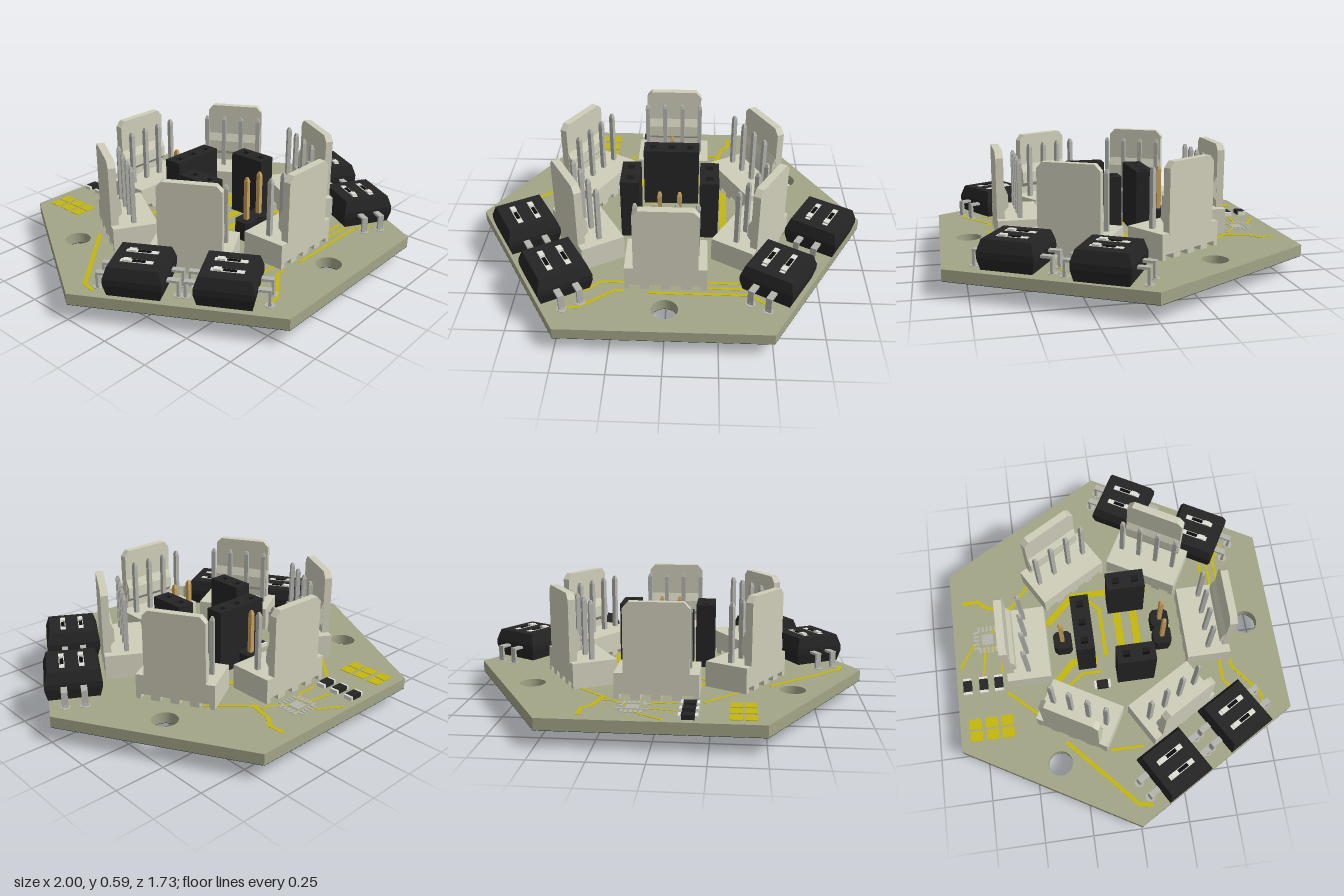
import * as THREE from 'three';

const mat = (color) => new THREE.MeshStandardMaterial({ color, flatShading: true });
const M = {
  board: mat(0xa3a587), under: mat(0x24352d), cream: mat(0xcfceba), black: mat(0x242424),
  dark: mat(0x0c0c0c), metal: mat(0xb4b4ae), gold: mat(0xc8a15a), copper: mat(0xc4b60c),
  white: mat(0xe0e0d8), pad: mat(0x56605a), silk: mat(0xb4b4ac),
};
const TOP = 0.135, BOTTOM = 0.08;

function add(parent, name, geo, material, x = 0, y = 0, z = 0) {
  const m = new THREE.Mesh(geo, material);
  m.name = name;
  m.position.set(x, y, z);
  parent.add(m);
  return m;
}
const box = (p, name, m, w, h, d, x, y, z) => add(p, name, new THREE.BoxGeometry(w, h, d), m, x, y, z);
const poly = (pts) => new THREE.Shape(pts.map((p) => new THREE.Vector2(p[0], p[1])));
const extrude = (shape, depth) => new THREE.ExtrudeGeometry(shape, { depth, bevelEnabled: false, curveSegments: 16 });
function group(parent, name, x = 0, z = 0, turn = 0) {
  const g = new THREE.Group();
  g.name = name;
  g.position.set(x, 0, z);
  g.rotation.y = turn;
  parent.add(g);
  return g;
}

// Square pin with tapered tips and a solder pad under the board
function pin(p, material, x, z, y0, y1, w = 0.022) {
  const r = w * 0.7071, t = 0.018;
  const profile = [[0, y0], [r * 0.5, y0], [r, y0 + t], [r, y1 - t], [r * 0.5, y1], [0, y1]];
  const geo = new THREE.LatheGeometry(profile.map((q) => new THREE.Vector2(q[0], q[1])), 4);
  geo.rotateY(Math.PI / 4);
  add(p, 'pin', geo, material, x, 0, z);
  add(p, 'solderPad', new THREE.CylinderGeometry(0.028, 0.028, 0.003, 12), M.pad, x, BOTTOM - 0.004, z);
}

// Hexagonal board with three mounting holes
function buildBoard(root) {
  const hex = [];
  for (let i = 0; i < 6; i++) hex.push([Math.cos(i * Math.PI / 3), Math.sin(i * Math.PI / 3)]);
  const shape = poly(hex);
  for (const [x, z] of [[0, 0.72], [0.63, -0.37], [-0.63, -0.37]]) {
    const hole = new THREE.Path();
    hole.absarc(x, -z, 0.063, 0, Math.PI * 2, true);
    shape.holes.push(hole);
  }
  const layer = (name, m, y, h) => add(root, name, extrude(shape, h).rotateX(-Math.PI / 2), m, 0, y, 0);
  layer('board', M.board, BOTTOM, TOP - BOTTOM);
  layer('boardUnderside', M.under, BOTTOM - 0.002, 0.002);
}

// Four-pin connector: notched base, tall latch wall on the outer side
function buildConnector(root, turn) {
  const g = group(root, 'connector', 0, 0, turn);
  const outline = [[-0.195, TOP]];
  for (const x of [-0.145, -0.048, 0.048, 0.145]) {
    outline.push([x - 0.025, TOP], [x - 0.025, 0.16], [x + 0.025, 0.16], [x + 0.025, TOP]);
  }
  outline.push([0.195, TOP], [0.195, 0.26], [-0.195, 0.26]);
  add(g, 'connectorBase', extrude(poly(outline), 0.225), M.cream, 0, 0, 0.36);
  const wall = poly([[-0.152, 0.25], [0.152, 0.25], [0.152, 0.56], [0.125, 0.59], [-0.125, 0.59], [-0.152, 0.56]]);
  add(g, 'latchWall', extrude(wall, 0.038), M.cream, 0, 0, 0.548);
  const ridge = extrude(poly([[0.555, 0.29], [0.555, 0.44], [0.53, 0.38], [0.528, 0.32]]), 0.3);
  ridge.translate(0, 0, -0.15).rotateY(-Math.PI / 2);
  add(g, 'latchRidge', ridge, M.cream);
  for (let i = 0; i < 4; i++) pin(g, M.metal, (i - 1.5) * 0.097, 0.472, 0, 0.55);
}

// Tall black socket strip with square openings
function buildSocket(root, n, x, z, turn) {
  const g = group(root, 'socketStrip', x, z, turn);
  const w = n * 0.0975 / 2, d = 0.0475, h = 0.018;
  const shape = poly([[-w, -d], [w, -d], [w, d], [-w, d]]);
  for (let i = 0; i < n; i++) {
    const c = (i - (n - 1) / 2) * 0.098;
    shape.holes.push(new THREE.Path([[c - h, -h], [c - h, h], [c + h, h], [c + h, -h]].map((q) => new THREE.Vector2(...q))));
    box(g, 'socketFloor', M.dark, 0.036, 0.26, 0.036, c, TOP + 0.13, 0);
    pin(g, M.gold, c, 0, 0.02, 0.2);
  }
  add(g, 'socketBody', extrude(shape, 0.465 - TOP).rotateX(-Math.PI / 2), M.black, 0, TOP, 0);
}

// Low pin header: chamfered block per gold pin
function buildHeader(root, n, x, z) {
  const g = group(root, 'pinHeader', x, z);
  const a = 0.048, c = 0.018;
  const block = poly([[-a + c, -a], [a - c, -a], [a, -a + c], [a, a - c], [a - c, a], [-a + c, a], [-a, a - c], [-a, -a + c]]);
  for (let i = 0; i < n; i++) {
    const px = (i - (n - 1) / 2) * 0.097;
    add(g, 'headerBlock', extrude(block, 0.1).rotateX(-Math.PI / 2), M.black, px, TOP, 0);
    pin(g, M.gold, px, 0, 0.02, 0.46);
  }
}

// Two-way switch block with drafted sides, slots, sliders and bent leads
function buildSwitch(root, x, z, turn) {
  const g = group(root, 'switchBlock', x, z, turn);
  const frustum = (y0, y1, s0, s1) => {
    const geo = new THREE.CylinderGeometry(s1 * Math.SQRT1_2, s0 * Math.SQRT1_2, y1 - y0, 4);
    geo.rotateY(Math.PI / 4);
    add(g, 'switchBody', geo, M.black, 0, (y0 + y1) / 2, 0);
  };
  frustum(0.145, 0.2, 0.245, 0.27);
  frustum(0.2, 0.23, 0.27, 0.27);
  frustum(0.23, 0.285, 0.27, 0.235);
  for (const s of [-1, 1]) {
    box(g, 'switchSlot', M.white, 0.15, 0.004, 0.026, 0, 0.285, s * 0.046);
    box(g, 'switchSlotShade', M.dark, 0.06, 0.004, 0.018, 0.01, 0.287, s * 0.046);
    box(g, 'slider', M.white, 0.035, 0.014, 0.026, -0.045, 0.288, s * 0.046);
    for (const e of [-1, 1]) {
      box(g, 'leadShoulder', M.metal, 0.075, 0.012, 0.03, e * 0.155, 0.21, s * 0.046);
      box(g, 'leadDrop', M.metal, 0.012, 0.08, 0.03, e * 0.187, 0.176, s * 0.046);
      pin(g, M.metal, e * 0.187, s * 0.046, 0.06, 0.16, 0.016);
      add(g, 'leadPad', new THREE.CylinderGeometry(0.024, 0.024, 0.003, 12), M.silk, e * 0.187, TOP + 0.001, s * 0.046);
    }
  }
}

// Surface chip with metal end caps
function buildChip(root, x, z, turn) {
  const g = group(root, 'surfaceChip', x, z, turn);
  box(g, 'chipBody', M.black, 0.06, 0.022, 0.044, 0, TOP + 0.011, 0);
  for (const s of [-1, 1]) box(g, 'chipCap', M.white, 0.014, 0.02, 0.044, s * 0.036, TOP + 0.01, 0);
}

// Copper track along a list of [x, z] points
function buildTrack(root, width, pts) {
  for (let i = 1; i < pts.length; i++) {
    const [x0, z0] = pts[i - 1], [x1, z1] = pts[i];
    const len = Math.hypot(x1 - x0, z1 - z0) + width * 0.6;
    const m = box(root, 'copperTrack', M.copper, len, 0.002, width, (x0 + x1) / 2, TOP + 0.0005, (z0 + z1) / 2);
    m.rotation.y = -Math.atan2(z1 - z0, x1 - x0);
  }
}

export function createModel() {
  const root = new THREE.Group();
  root.name = 'hexagonalCircuitBoard';
  buildBoard(root);
  for (let k = 0; k < 6; k++) buildConnector(root, k * Math.PI / 3);

  buildSocket(root, 3, 0, -0.167, 0);
  buildSocket(root, 2, -0.197, 0.08, Math.PI / 2);
  buildSocket(root, 2, 0.2, 0.08, Math.PI / 2);
  buildHeader(root, 1, 0, -0.28);
  buildHeader(root, 2, 0.005, 0.247);

  const T = Math.PI / 3;
  buildSwitch(root, 0.77, 0.16, T);
  buildSwitch(root, 0.53, 0.53, T);
  buildSwitch(root, -0.73, 0.2, -T);
  buildSwitch(root, -0.525, 0.55, -T);

  for (const z of [-0.81, -0.725, -0.645]) {
    buildChip(root, -0.16, z, 0);
    // Paired copper pads beside each chip
    for (const x of [-0.43, -0.365]) box(root, 'copperPad', M.copper, 0.055, 0.003, 0.065, x, TOP + 0.001, z + 0.025);
  }
  buildChip(root, -0.245, -0.1, Math.PI / 2);

  // Bare chip footprint
  box(root, 'footprintCentre', M.silk, 0.06, 0.003, 0.06, 0.095, TOP + 0.001, -0.685);
  for (let i = -2; i <= 2; i++) for (const s of [-1, 1]) {
    box(root, 'footprintPad', M.silk, 0.012, 0.003, 0.03, 0.095 + i * 0.022, TOP + 0.001, -0.685 + s * 0.06);
    box(root, 'footprintPad', M.silk, 0.03, 0.003, 0.012, 0.095 + s * 0.06, TOP + 0.001, -0.685 + i * 0.022);
  }

  // Copper tracks
  const tracks = [
    [0.04, [[-0.14, 0.03], [0.14, 0.03]]], [0.04, [[-0.14, 0.12], [0.14, 0.12]]],
    [0.02, [[-0.9, 0.06], [-0.89, 0], [-0.53, -0.32]]], [0.015, [[-0.6, -0.1], [-0.6, 0.06]]],
    [0.015, [[-0.39, -0.42], [-0.22, -0.6]]], [0.035, [[-0.2, -0.34], [-0.1, -0.24], [-0.1, -0.12]]],
    [0.015, [[-0.23, -0.28], [-0.17, -0.2], [-0.17, -0.1]]],
    [0.035, [[0.14, -0.35], [0.28, -0.2], [0.28, 0.2]]], [0.02, [[-0.08, -0.06], [0.18, -0.06], [0.26, -0.13]]],
    [0.015, [[0.23, -0.57], [0.42, -0.4]]], [0.02, [[0.25, -0.55], [0.28, -0.68], [0.32, -0.72], [0.32, -0.8]]],
    [0.015, [[-0.48, 0.73], [-0.4, 0.72], [-0.24, 0.6], [-0.2, 0.6]]],
    [0.015, [[-0.4, 0.62], [-0.31, 0.54], [-0.2, 0.54]]],
    [0.015, [[-0.08, 0.61], [0.4, 0.61], [0.47, 0.67]]], [0.015, [[0.2, 0.53], [0.38, 0.53]]],
    [0.015, [[0.2, 0.57], [0.38, 0.57]]], [0.015, [[0.52, 0.32], [0.6, 0.35], [0.68, 0.33]]],
    [0.012, [[-0.1, -0.62], [0.0, -0.62], [0.05, -0.66]]], [0.012, [[-0.1, -0.72], [0.04, -0.7]]],
    [0.012, [[-0.05, -0.84], [0.07, -0.76]]], [0.012, [[0.13, -0.66], [0.2, -0.6], [0.24, -0.6]]],
  ];
  for (const [w, pts] of tracks) buildTrack(root, w, pts);
  return root;
}
